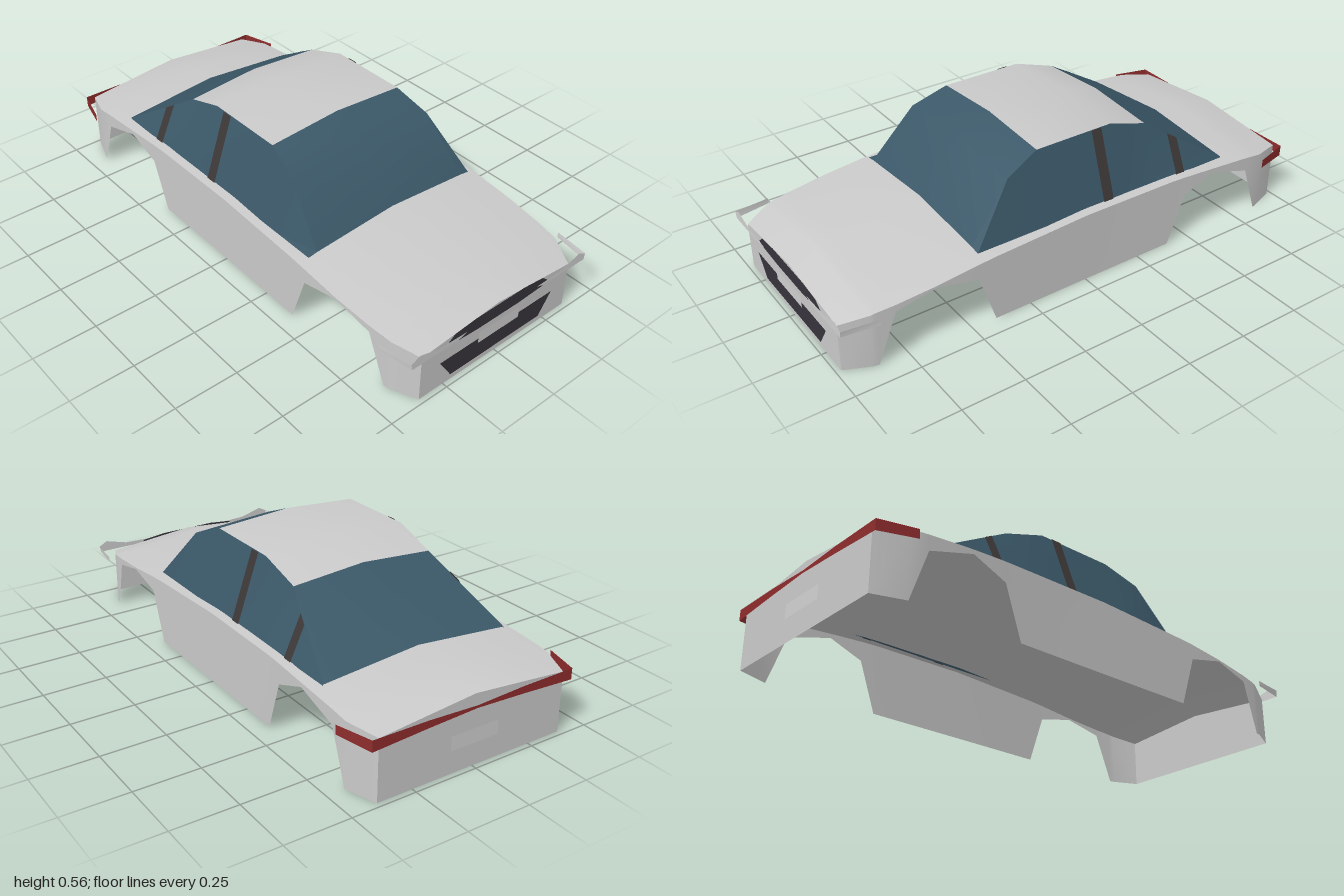
import * as THREE from 'three';
import { toCreasedNormals } from 'three/addons/utils/BufferGeometryUtils.js';

const paint = (name, color) => new THREE.MeshStandardMaterial({ name, color, side: THREE.DoubleSide });

// Body stations, front to back: [z, half width, bottom, shoulder, crown]
const BODY = [
  [0.98, 0.36, 0, 0.19, 0.222],
  [0.88, 0.405, 0, 0.215, 0.258],
  [0.86, 0.408, 0, 0.219, 0.264],
  [0.79, 0.417, 0.2, 0.227, 0.272],
  [0.63, 0.427, 0.238, 0.245, 0.288],
  [0.47, 0.428, 0.2, 0.262, 0.304],
  [0.4, 0.427, 0, 0.267, 0.307],
  [0, 0.425, 0, 0.285, 0.314],
  [-0.4, 0.425, 0, 0.282, 0.318],
  [-0.47, 0.427, 0.2, 0.28, 0.318],
  [-0.61, 0.43, 0.255, 0.272, 0.317],
  [-0.79, 0.43, 0.2, 0.258, 0.309],
  [-0.86, 0.43, 0, 0.25, 0.303],
  [-0.98, 0.39, 0, 0.235, 0.272],
];

// Cabin stations, front to back: [z, half width at roof edge, edge height, centre height]
const CABIN = [
  [0.45, 0.355, 0.286, 0.312],
  [0.28, 0.325, 0.488, 0.508],
  [0.14, 0.3, 0.545, 0.565],
  [-0.19, 0.3, 0.545, 0.565],
  [-0.36, 0.295, 0.49, 0.512],
  [-0.68, 0.39, 0.284, 0.319],
];
const SILL = { x: 0.392, y: 0.28 };

// Surface through rows of points; rows run front to back
function sheet(rows, crease = 0.35) {
  const n = rows[0].length;
  const index = [];
  for (let r = 0; r < rows.length - 1; r++) {
    for (let c = 0; c < n - 1; c++) {
      const a = r * n + c;
      index.push(a, a + 1, a + n, a + 1, a + n + 1, a + n);
    }
  }
  const geo = new THREE.BufferGeometry();
  geo.setAttribute('position', new THREE.Float32BufferAttribute(rows.flat(2), 3));
  geo.setIndex(index);
  return toCreasedNormals(geo, crease);
}

// Flat outline facing +z
const outline = (pts) => new THREE.ShapeGeometry(new THREE.Shape(pts.map(([x, y]) => new THREE.Vector2(x, y))));
// Complete a right-to-centre outline with its mirror image
const mirrored = (pts) => [...pts, ...pts.slice().reverse().map(([x, y]) => [-x, y])];
const ordered = (side, row) => (side > 0 ? row : row.reverse());

export function createModel() {
  const model = new THREE.Group();
  model.name = 'car';
  const body = paint('bodyGrey', 0xcacaca);
  const glass = paint('glassBlue', 0x3b5868);
  const trim = paint('trimCharcoal', 0x37343c);
  const pillar = paint('pillarBrown', 0x3d3838);
  const red = paint('tailRed', 0x8e2c2c);
  const lamp = paint('lampGrey', 0xd0d0d0);

  const add = (name, geo, mat) => {
    const mesh = new THREE.Mesh(geo, mat);
    mesh.name = name;
    model.add(mesh);
    return mesh;
  };
  const front = (name, pts, z, mat) => { add(name, outline(pts), mat).position.z = z; };
  const back = (name, pts, z, mat) => {
    const mesh = add(name, outline(pts), mat);
    mesh.position.z = z;
    mesh.rotation.y = Math.PI;
  };
  const sideName = (s, name) => (s > 0 ? 'left' : 'right') + name;

  // Hood, deck and trunk skin
  add('deck', sheet(BODY.map(([z, w, , y, top]) => [[-w, y, z], [0, top, z], [w, y, z]])), body);

  // Side walls with wheel arches
  for (const s of [1, -1]) {
    add(sideName(s, 'Wall'), sheet(BODY.map(([z, w, low, y]) =>
      ordered(s, [[s * w, y, z], [s * w, low, z]]))), body);
  }

  // End panels
  const endPanel = ([, w, low, y, top]) => [[-w, low], [w, low], [w, y], [0, top], [-w, y]];
  front('frontPanel', endPanel(BODY[0]), 0.98, body);
  back('rearPanel', endPanel(BODY[BODY.length - 1]), -0.98, body);

  // Roof, windshield and rear window
  const top = CABIN.map(([z, w, y, mid]) => [[-w, y, z], [0, mid, z], [w, y, z]]);
  add('windshield', sheet(top.slice(0, 3), 0.6), glass);
  add('roof', sheet(top.slice(2, 5), 0.6), body);
  add('rearWindow', sheet(top.slice(4), 0.6), glass);

  // Side windows and pillars
  const edgeAt = (z) => {
    const i = CABIN.findIndex((c, k) => k > 0 && c[0] <= z);
    const [a, b] = [CABIN[i - 1], CABIN[i]];
    const t = (a[0] - z) / (a[0] - b[0]);
    return [a[1] + (b[1] - a[1]) * t, a[2] + (b[2] - a[2]) * t];
  };
  for (const s of [1, -1]) {
    add(sideName(s, 'SideWindow'), sheet(CABIN.map(([z, w, y]) =>
      ordered(s, [[s * w, y, z], [s * SILL.x, SILL.y, z]]))), glass);
    for (const [name, z, half] of [['MiddlePillar', -0.123, 0.022], ['RearPillar', -0.47, 0.02]]) {
      const rows = [z + half, z - half].map((pz) => {
        const [x, y] = edgeAt(pz);
        return ordered(s, [[s * (x + 0.004), y, pz], [s * (SILL.x + 0.004), SILL.y, pz]]);
      });
      add(sideName(s, name), sheet(rows), pillar);
    }
  }

  // Grille, intake and plates
  front('upperGrille', mirrored([[0, 0.175], [0.1, 0.163], [0.22, 0.17], [0.25, 0.18],
    [0.215, 0.208], [0.12, 0.218], [0, 0.209]].slice(1, 6)), 0.984, trim);
  front('lowerIntake', [[-0.22, 0.027], [0.22, 0.027], [0.275, 0.113], [-0.275, 0.113]], 0.984, trim);
  front('frontPlate', [[-0.1, 0.1], [0.1, 0.1], [0.1, 0.148], [-0.1, 0.148]], 0.989, lamp);
  back('rearPlate', [[-0.1, 0.09], [0.1, 0.09], [0.1, 0.145], [-0.1, 0.145]], -0.985, lamp);

  // Headlamps and tail lamps wrapping round the corners
  for (const s of [1, -1]) {
    const flip = (pts) => ordered(s, pts.map(([x, y]) => [s * x, y]));
    front(sideName(s, 'Headlamp'), flip([[0.17, 0.203], [0.21, 0.19], [0.42, 0.19],
      [0.425, 0.215], [0.39, 0.233], [0.3, 0.208]]), 0.998, lamp);
    add(sideName(s, 'HeadlampSide'), sheet([
      ordered(s, [[s * 0.425, 0.215, 0.998], [s * 0.42, 0.19, 0.998]]),
      ordered(s, [[s * 0.442, 0.215, 0.86], [s * 0.442, 0.193, 0.86]]),
    ]), lamp);
    add(sideName(s, 'TailLampSide'), sheet([
      ordered(s, [[s * 0.46, 0.242, -0.85], [s * 0.46, 0.207, -0.85]]),
      ordered(s, [[s * 0.422, 0.243, -0.99], [s * 0.422, 0.2, -0.99]]),
    ]), red);
  }
  back('tailLampStrip', [[-0.422, 0.2], [-0.2, 0.213], [0, 0.222], [0.2, 0.213], [0.422, 0.2],
    [0.422, 0.243], [0.2, 0.241], [0, 0.232], [-0.2, 0.241], [-0.422, 0.243]], -0.99, red);

  return model;
}
